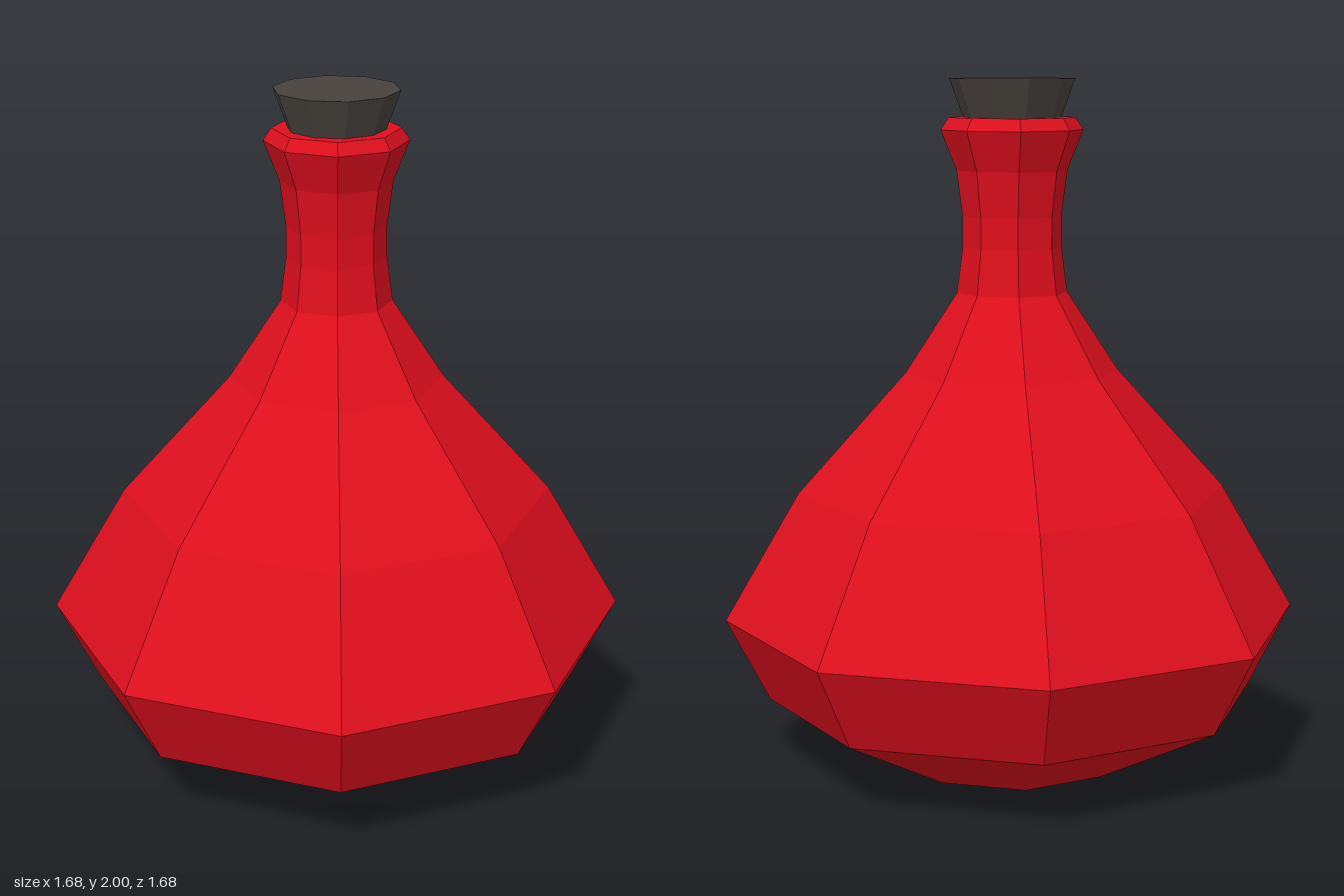
import * as THREE from 'three';

// Faceted surface of revolution from [radius, height] pairs, listed bottom to top
function facetedLathe(name, profile, sides, color) {
  const points = profile.map(([r, y]) => new THREE.Vector2(r, y));
  const geometry = new THREE.LatheGeometry(points, sides).toNonIndexed();
  geometry.computeVertexNormals();
  const material = new THREE.MeshStandardMaterial({ color, flatShading: true });
  const mesh = new THREE.Mesh(geometry, material);
  mesh.name = name;
  return mesh;
}

export function createModel() {
  const flask = new THREE.Group();
  flask.name = 'flask';

  // Eight-sided bottle: base, belly, shoulder, neck, flared lip, inner throat
  flask.add(facetedLathe('bottle', [
    [0, 0], [0.325, 0], [0.715, 0.2], [0.84, 0.44], [0.625, 0.81],
    [0.31, 1.16], [0.16, 1.39], [0.143, 1.52], [0.143, 1.61], [0.16, 1.74],
    [0.205, 1.855], [0.182, 1.89], [0.135, 1.89], [0.115, 1.8],
  ], 8, 0xdf0f1d));

  // Ten-sided tapered stopper, sunk into the neck
  flask.add(facetedLathe('stopper', [
    [0, 1.78], [0.1, 1.78], [0.18, 2], [0, 2],
  ], 10, 0x48423d));

  return flask;
}
